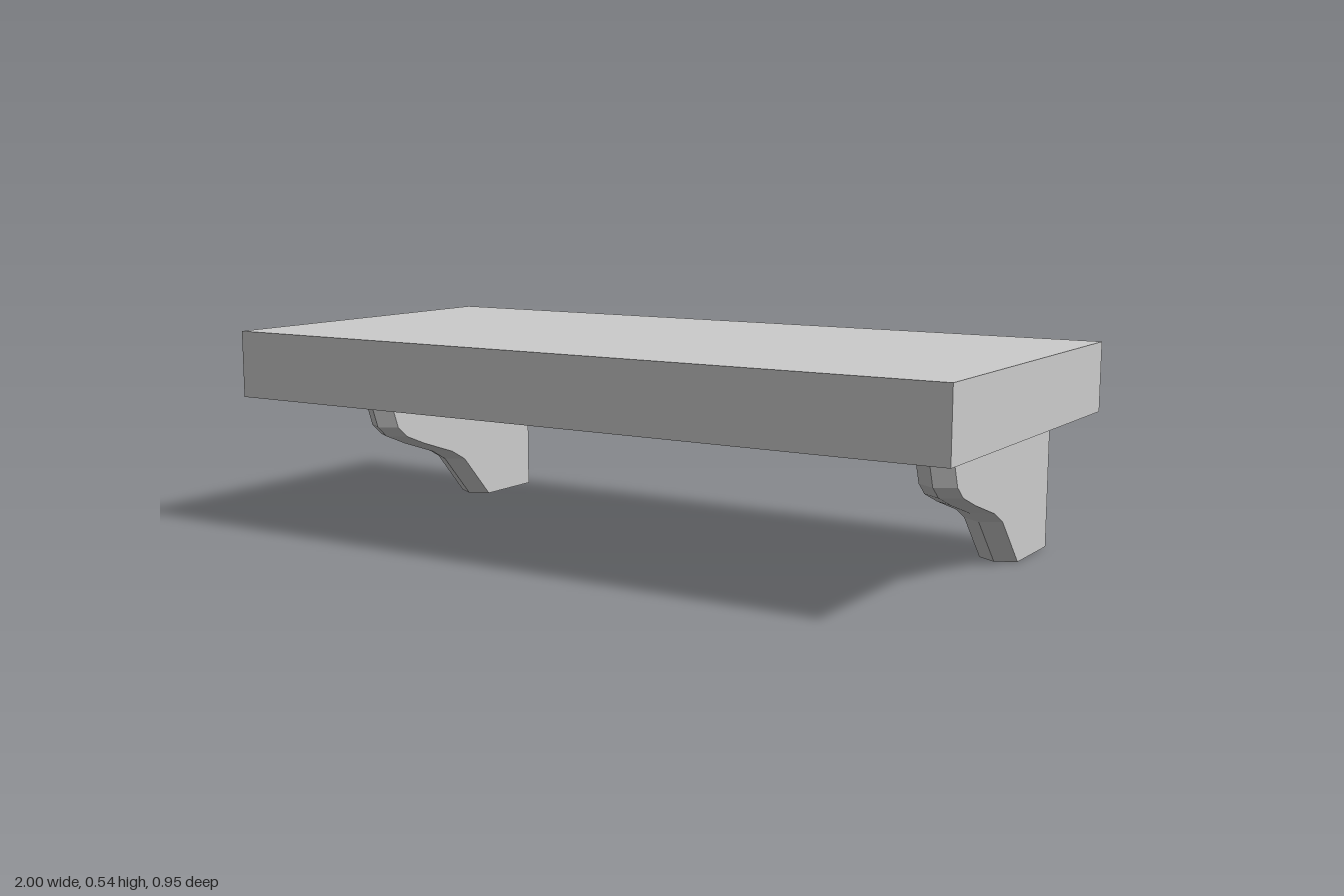
import * as THREE from 'three';

const material = new THREE.MeshStandardMaterial({ color: 0xcccccc, flatShading: true });
const SHELF_BOTTOM = 0.36, SHELF_TOP = 0.535, DEPTH = 0.948;
const BACK = -DEPTH / 2, BLOCK_FRONT = -0.315, HALF = 0.05, RIDGE = 0.03;

// Front ridge of a bracket, bottom to top: [y, z]
const ridge = [
  [0, -0.245], [0.12, -0.135], [0.15, -0.08], [0.19, 0.04],
  [0.22, 0.115], [0.25, 0.15], [SHELF_BOTTOM, 0.19],
];

// Horizontal sections stacked upward: square block behind, slightly tapered cheeks, pointed front
function bracketGeometry() {
  const rows = ridge.map(([y, z]) => {
    const side = z - RIDGE;
    const w = HALF - 0.006 * (side - BLOCK_FRONT);
    return [
      [0, z], [w, side], [HALF, BLOCK_FRONT], [HALF, BACK],
      [-HALF, BACK], [-HALF, BLOCK_FRONT], [-w, side],
    ].map(([px, pz]) => [px, y, pz]);
  });
  const pos = [];
  const tri = (a, b, c) => pos.push(...a, ...b, ...c);
  const n = rows[0].length;
  for (let i = 0; i < rows.length - 1; i++) {
    for (let j = 0; j < n; j++) {
      const k = (j + 1) % n, lo = rows[i], hi = rows[i + 1];
      tri(lo[j], lo[k], hi[k]);
      tri(lo[j], hi[k], hi[j]);
    }
  }
  // End caps
  const bottom = rows[0], top = rows[rows.length - 1];
  for (let j = 1; j < n - 1; j++) {
    tri(bottom[0], bottom[j + 1], bottom[j]);
    tri(top[0], top[j], top[j + 1]);
  }
  const geometry = new THREE.BufferGeometry();
  geometry.setAttribute('position', new THREE.Float32BufferAttribute(pos, 3));
  geometry.computeVertexNormals();
  return geometry;
}

export function createModel() {
  const group = new THREE.Group();
  group.name = 'wallShelf';

  // Thick plank
  const plank = new THREE.Mesh(new THREE.BoxGeometry(2, SHELF_TOP - SHELF_BOTTOM, DEPTH), material);
  plank.name = 'shelfBoard';
  plank.position.y = (SHELF_TOP + SHELF_BOTTOM) / 2;
  group.add(plank);

  // Two matching brackets
  const geometry = bracketGeometry();
  for (const [name, x] of [['leftBracket', 0.825], ['rightBracket', -0.825]]) {
    const bracket = new THREE.Mesh(geometry, material);
    bracket.name = name;
    bracket.position.x = x;
    group.add(bracket);
  }
  return group;
}
